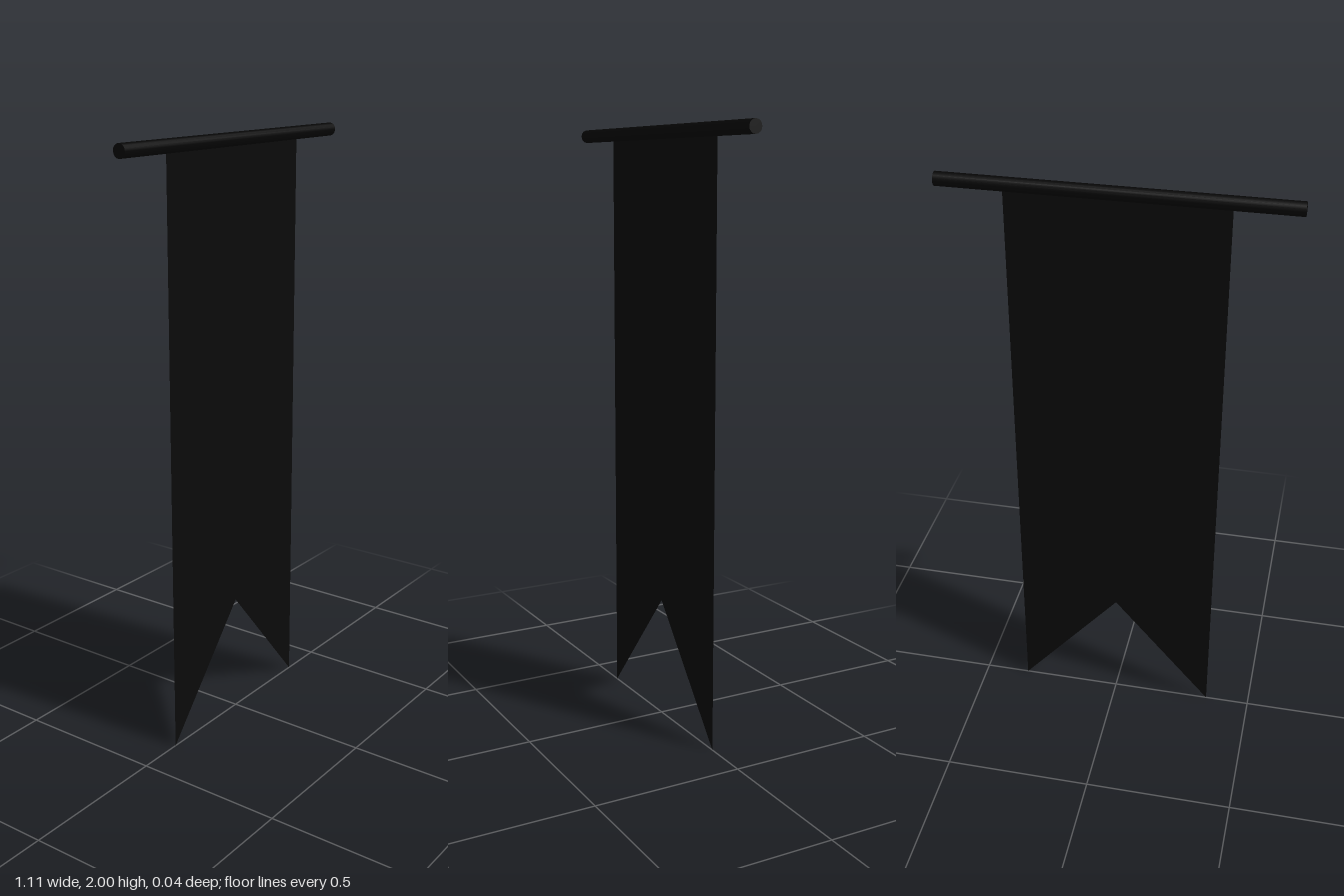
import * as THREE from 'three';

export function createModel() {
  const group = new THREE.Group();
  const rodRadius = 0.022;
  const rodY = 2 - rodRadius;
  const halfWidth = 0.345;

  // Horizontal hanging rod
  const rod = new THREE.Mesh(
    new THREE.CylinderGeometry(rodRadius, rodRadius, 1.106, 16).rotateZ(Math.PI / 2),
    new THREE.MeshStandardMaterial({ color: 0x050505 })
  );
  rod.name = 'rod';
  rod.position.y = rodY;
  group.add(rod);

  // Flat cloth with a swallowtail notch, hung from the middle of the rod
  const outline = new THREE.Shape([
    new THREE.Vector2(-halfWidth, 0),
    new THREE.Vector2(0, 0.41),
    new THREE.Vector2(halfWidth, 0),
    new THREE.Vector2(halfWidth, rodY),
    new THREE.Vector2(-halfWidth, rodY),
  ]);
  const cloth = new THREE.Mesh(
    new THREE.ShapeGeometry(outline),
    new THREE.MeshStandardMaterial({ color: 0x0a0a0a, side: THREE.DoubleSide })
  );
  cloth.name = 'cloth';
  group.add(cloth);

  return group;
}
